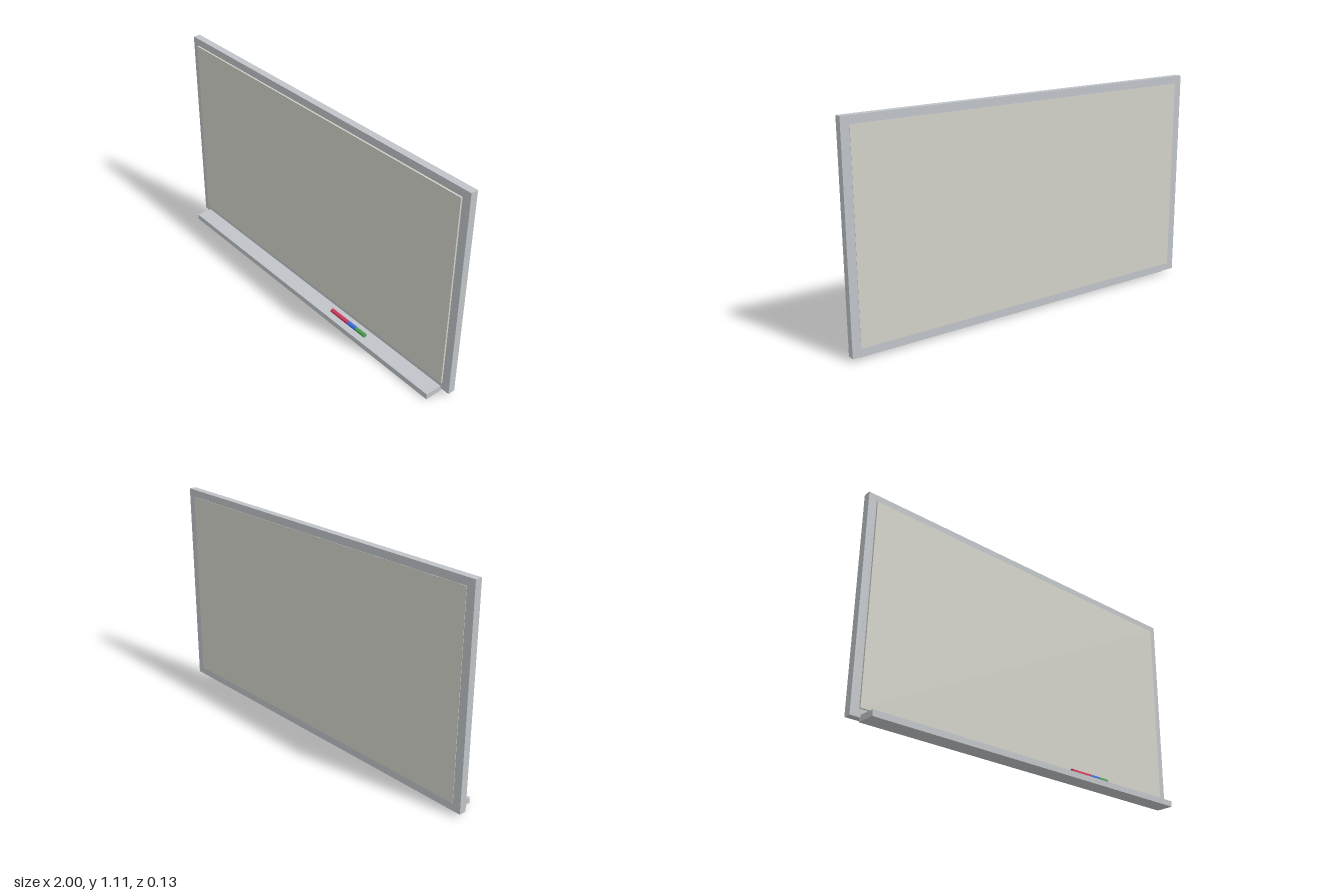
import * as THREE from 'three';

const material = (color) => new THREE.MeshStandardMaterial({ color });

// Box given by its min and max corners
function box(name, [x0, y0, z0], [x1, y1, z1], mat) {
  const mesh = new THREE.Mesh(new THREE.BoxGeometry(x1 - x0, y1 - y0, z1 - z0), mat);
  mesh.name = name;
  mesh.position.set((x0 + x1) / 2, (y0 + y1) / 2, (z0 + z1) / 2);
  return mesh;
}

// Corners of an upright rectangle centred on x = 0
const rectangle = (halfWidth, bottom, top) => [
  new THREE.Vector2(-halfWidth, bottom),
  new THREE.Vector2(halfWidth, bottom),
  new THREE.Vector2(halfWidth, top),
  new THREE.Vector2(-halfWidth, top),
];

export function createModel() {
  const model = new THREE.Group();
  model.name = 'whiteboard';
  const metal = material(0xc0c4c8);

  // Frame around the board
  const outline = new THREE.Shape(rectangle(1, 0.018, 1.114));
  outline.holes.push(new THREE.Path(rectangle(0.957, 0.057, 1.075)));
  const frame = new THREE.Mesh(
    new THREE.ExtrudeGeometry(outline, { depth: 0.038, bevelEnabled: false }), metal);
  frame.name = 'frame';
  frame.position.z = -0.063;
  model.add(frame);

  // Writing board, standing slightly proud of the frame on both sides
  model.add(box('writingBoard', [-0.957, 0.057, -0.065], [0.957, 1.075, -0.016], material(0xd2d2ca)));

  // Pen tray along the bottom
  model.add(box('penTray', [-0.948, 0, -0.033], [0.948, 0.03, 0.064], metal));

  // Pens in a row above the tray
  const pens = [
    ['redPen', 0.233, 0.36, 0xd03a5c],
    ['bluePen', 0.36, 0.42, 0x3a6fe0],
    ['greenPen', 0.42, 0.482, 0x4fa055],
  ];
  for (const [name, start, end, color] of pens) {
    const pen = new THREE.Mesh(
      new THREE.CylinderGeometry(0.011, 0.011, end - start, 20), material(color));
    pen.name = name;
    pen.rotation.z = Math.PI / 2;
    pen.position.set((start + end) / 2, 0.046, 0.027);
    model.add(pen);
  }

  return model;
}
